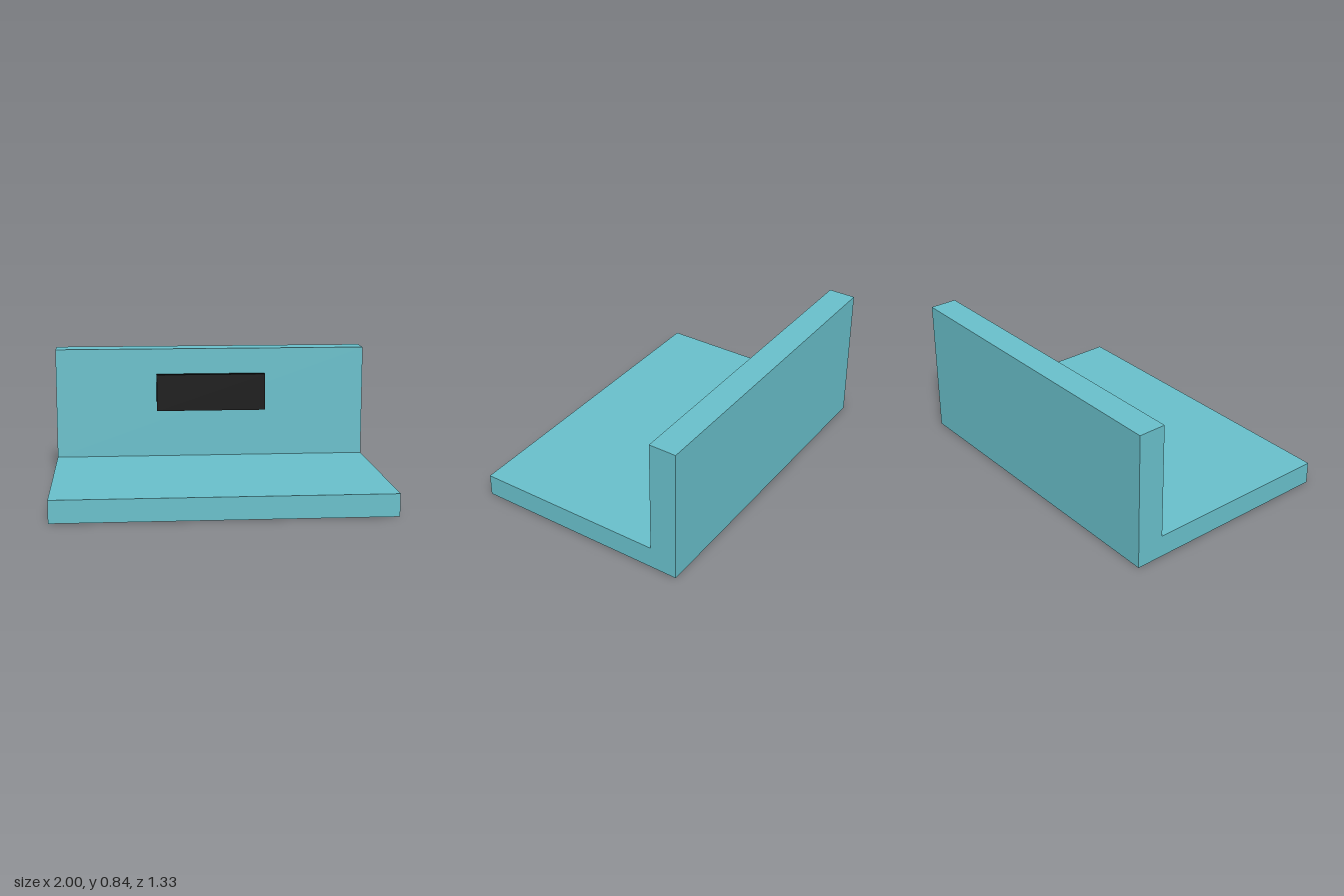
import * as THREE from 'three';

export function createModel() {
  const group = new THREE.Group();
  const teal = new THREE.MeshStandardMaterial({ color: 0x69c0cb });
  teal.name = 'teal';
  const black = new THREE.MeshStandardMaterial({ color: 0x0c0c0c });
  black.name = 'black';

  // L-shaped bracket: side profile (-z, y) extruded across the width
  const profile = new THREE.Shape([
    [-0.667, 0], [0.667, 0], [0.667, 0.84],
    [0.5, 0.84], [0.5, 0.135], [-0.667, 0.135],
  ].map(([x, y]) => new THREE.Vector2(x, y)));
  const bracketGeometry = new THREE.ExtrudeGeometry(profile, { depth: 2, bevelEnabled: false });
  bracketGeometry.translate(0, 0, -1).rotateY(Math.PI / 2);
  const bracket = new THREE.Mesh(bracketGeometry, teal);
  bracket.name = 'bracket';
  group.add(bracket);

  // Raised block on the front of the upright wall
  const panel = new THREE.Mesh(new THREE.BoxGeometry(0.704, 0.236, 0.048), black);
  panel.name = 'wallPanel';
  panel.position.set(0, 0.558, -0.476);
  group.add(panel);

  return group;
}
